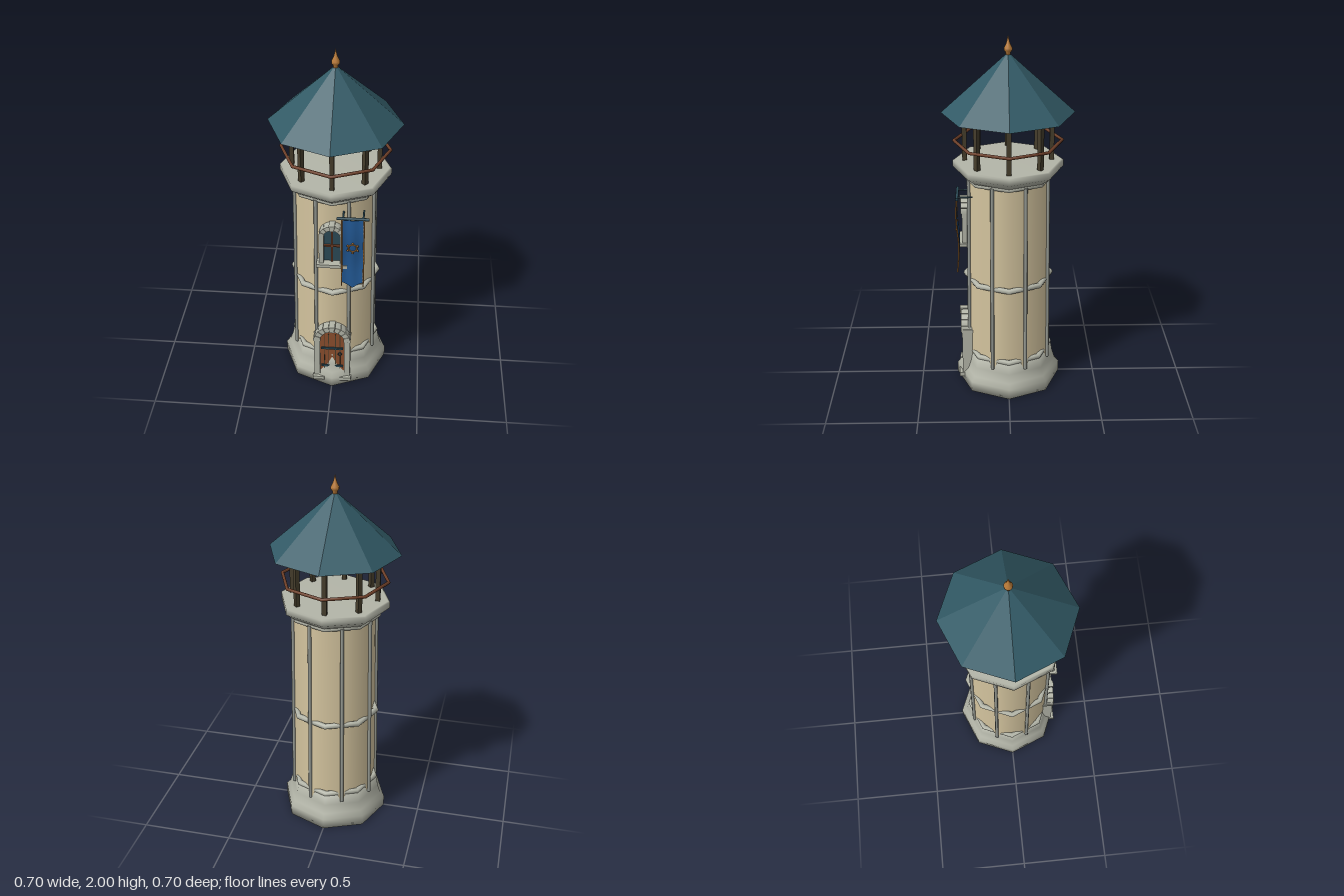
import * as THREE from 'three';

const mat = (name, color, extra = {}) => {
  const m = new THREE.MeshStandardMaterial({ color, ...extra });
  m.name = name;
  return m;
};

export function createModel() {
  const M = {
    wall: mat('plaster', 0xd6c6a0),
    stone: mat('stone', 0xb3b5a8),
    trim: mat('grey trim', 0x949891),
    roof: mat('roof slate', 0x325a66, { flatShading: true, side: THREE.DoubleSide }),
    post: mat('dark timber', 0x453d2b),
    rail: mat('rail timber', 0x6e3f28),
    door: mat('door wood', 0x8c4f2e),
    cloth: mat('blue cloth', 0x215690, { side: THREE.DoubleSide }),
    gold: mat('aged gold', 0xb87a38),
    iron: mat('blue iron', 0x2b4a56),
  };
  const tower = new THREE.Group();
  tower.name = 'tower';

  const add = (parent, name, geo, material, x = 0, y = 0, z = 0) => {
    const mesh = new THREE.Mesh(geo, material);
    mesh.name = name;
    mesh.position.set(x, y, z);
    parent.add(mesh);
    return mesh;
  };
  const box = (parent, name, w, h, d, material, x, y, z) =>
    add(parent, name, new THREE.BoxGeometry(w, h, d), material, x, y, z);
  const lathe = (parent, name, pts, sides, material) =>
    add(parent, name, new THREE.LatheGeometry(pts.map(p => new THREE.Vector2(...p)), sides), material);
  const group = (name) => {
    const g = new THREE.Group();
    g.name = name;
    tower.add(g);
    return g;
  };
  // octagonal hoop with corners on the axes
  const hoop = (name, r, tube, y, material) => {
    add(tower, name, new THREE.TorusGeometry(r, tube, 8, 8), material, 0, y).rotation.x = Math.PI / 2;
  };
  // straight round bar between two points
  const bar = (parent, name, a, b, r, material) => {
    const va = new THREE.Vector3(...a), vb = new THREE.Vector3(...b);
    const dir = vb.clone().sub(va);
    const mesh = add(parent, name, new THREE.CylinderGeometry(r, r, dir.length(), 8), material);
    mesh.position.copy(va).add(vb).multiplyScalar(0.5);
    mesh.quaternion.setFromUnitVectors(new THREE.Vector3(0, 1, 0), dir.normalize());
  };
  // flat panel with a round top
  const archPanel = (w, bottom, spring, depth) => {
    const s = new THREE.Shape();
    s.moveTo(-w, bottom);
    s.lineTo(w, bottom);
    s.lineTo(w, spring);
    s.absarc(0, spring, w, 0, Math.PI, false);
    s.lineTo(-w, bottom);
    return new THREE.ExtrudeGeometry(s, { depth, bevelEnabled: false, curveSegments: 8 });
  };
  // ring of wedge stones over an opening
  const archStones = (parent, r, thick, spring, depth, z, count) => {
    const step = Math.PI / count;
    for (let i = 0; i < count; i++) {
      const s = new THREE.Shape();
      const a = i * step + 0.015, b = (i + 1) * step - 0.015;
      const key = i === (count - 1) / 2 ? 0.006 : 0;
      s.absarc(0, 0, r + thick / 2 + key, a, b, false);
      s.absarc(0, 0, r - thick / 2, b, a, true);
      const geo = new THREE.ExtrudeGeometry(s, { depth: depth + key, bevelEnabled: false, curveSegments: 2 });
      add(parent, 'archStone', geo, M.stone, 0, spring, z);
    }
  };

  // Flared base, wall and crown
  lathe(tower, 'base', [[0, 0], [0.297, 0], [0.297, 0.06], [0.274, 0.085], [0.258, 0.135], [0.246, 0.2], [0.2, 0.2]], 8, M.stone);
  add(tower, 'wall', new THREE.CylinderGeometry(0.224, 0.238, 1.13, 8), M.wall, 0, 0.725).rotation.y = Math.PI / 8;
  lathe(tower, 'crown', [[0.2, 1.25], [0.24, 1.25], [0.262, 1.268], [0.297, 1.295], [0.297, 1.328], [0.285, 1.332], [0, 1.332]], 8, M.stone);

  // Bands and corner ribs
  for (const y of [0.2, 0.655, 1.25]) hoop('band', 0.235, 0.016, y, M.stone);
  const ribs = group('cornerRibs');
  for (let i = 0; i < 8; i++) {
    const a = (i + 0.5) * Math.PI / 4, s = Math.sin(a), c = Math.cos(a);
    bar(ribs, 'cornerRib', [0.241 * s, 0.155, 0.241 * c], [0.228 * s, 1.25, 0.228 * c], 0.01, M.trim);
  }

  // Lookout posts and railing
  const posts = group('lookoutPosts');
  for (let i = 0; i < 8; i++) {
    const a = i * Math.PI / 4;
    box(posts, 'post', 0.024, 0.36, 0.024, M.post, 0.232 * Math.sin(a), 1.5, 0.232 * Math.cos(a)).rotation.y = a;
  }
  hoop('railing', 0.287, 0.009, 1.44, M.rail);

  // Roof and finial
  add(tower, 'roof', new THREE.CylinderGeometry(0.003, 0.352, 0.315, 8, 1, true), M.roof, 0, 1.752);
  lathe(tower, 'finial', [[0, 1.895], [0.014, 1.895], [0.012, 1.91], [0.022, 1.922], [0.022, 1.934], [0.011, 1.955], [0.006, 1.975], [0, 2]], 10, M.gold);

  // Arched door
  const door = group('door');
  add(door, 'doorLeaf', archPanel(0.07, 0.05, 0.325, 0.05), M.door, 0, 0, 0.198);
  for (const x of [-0.045, -0.02, 0.02, 0.045]) box(door, 'plankSeam', 0.004, 0.29, 0.004, M.post, x, 0.215, 0.249);
  for (const y of [0.12, 0.255]) box(door, 'hingeStrap', 0.125, 0.013, 0.008, M.iron, 0, y, 0.251);
  add(door, 'doorHandle', new THREE.TorusGeometry(0.01, 0.003, 6, 10), M.iron, 0.045, 0.215, 0.254);
  for (const s of [-1, 1]) {
    box(door, 'doorJamb', 0.034, 0.28, 0.065, M.stone, s * 0.086, 0.19, 0.231);
    box(door, 'jambFoot', 0.066, 0.022, 0.08, M.stone, s * 0.077, 0.045, 0.242);
    box(door, 'jambCap', 0.04, 0.02, 0.068, M.stone, s * 0.086, 0.33, 0.233);
  }
  archStones(door, 0.086, 0.034, 0.325, 0.068, 0.202, 9);

  // Arched window
  const win = group('window');
  add(win, 'windowGlass', archPanel(0.045, 0.87, 1.045, 0.03), M.iron, 0, 0, 0.195);
  box(win, 'mullion', 0.009, 0.215, 0.012, M.rail, 0, 0.975, 0.23);
  box(win, 'crossbar', 0.09, 0.009, 0.012, M.rail, 0, 0.975, 0.231);
  for (const s of [-1, 1]) box(win, 'windowJamb', 0.025, 0.18, 0.05, M.stone, s * 0.057, 0.955, 0.227);
  box(win, 'windowSill', 0.165, 0.02, 0.065, M.stone, 0, 0.862, 0.236);
  archStones(win, 0.057, 0.026, 1.045, 0.055, 0.202, 7);

  // Hanging banner: rippled sheet with a pointed hem
  const banner = group('banner');
  const sheet = new THREE.PlaneGeometry(0.115, 0.4, 8, 16);
  const p = sheet.attributes.position;
  const ripple = (x, v) => 0.272 + 0.006 * Math.sin(v * 7) + 0.003 * Math.cos(x * 90);
  for (let i = 0; i < p.count; i++) {
    const x = p.getX(i), v = 0.5 - p.getY(i) / 0.4;
    const hem = 0.77 - 0.035 * (1 - Math.abs(x) / 0.0575);
    p.setXYZ(i, x + 0.112, THREE.MathUtils.lerp(1.172, hem, v), ripple(x, v));
  }
  sheet.computeVertexNormals();
  add(banner, 'bannerCloth', sheet, M.cloth);
  bar(banner, 'bannerRod', [0.028, 1.182, 0.272], [0.196, 1.182, 0.272], 0.008, M.iron);
  for (const x of [0.06, 0.165]) bar(banner, 'rodBracket', [x, 1.182, 0.19], [x, 1.182, 0.272], 0.005, M.iron);
  for (const s of [-1, 1]) {
    const pts = [];
    for (let i = 0; i <= 8; i++) pts.push(new THREE.Vector3(0.112 + s * 0.058, 1.175 - 0.43 * i / 8, ripple(0.0575, i / 8)));
    add(banner, 'bannerEdge', new THREE.TubeGeometry(new THREE.CatmullRomCurve3(pts), 16, 0.004, 5), M.gold);
  }

  // Round ornament on the cloth
  const oz = 0.279;
  add(banner, 'ornamentRing', new THREE.TorusGeometry(0.022, 0.004, 6, 16), M.gold, 0.112, 1.0, oz);
  for (let i = 0; i < 6; i++) {
    const a = i * Math.PI / 3 + Math.PI / 6;
    add(banner, 'ornamentBead', new THREE.SphereGeometry(0.006, 8, 6), M.gold, 0.112 + 0.03 * Math.cos(a), 1 + 0.03 * Math.sin(a), oz);
  }
  return tower;
}
